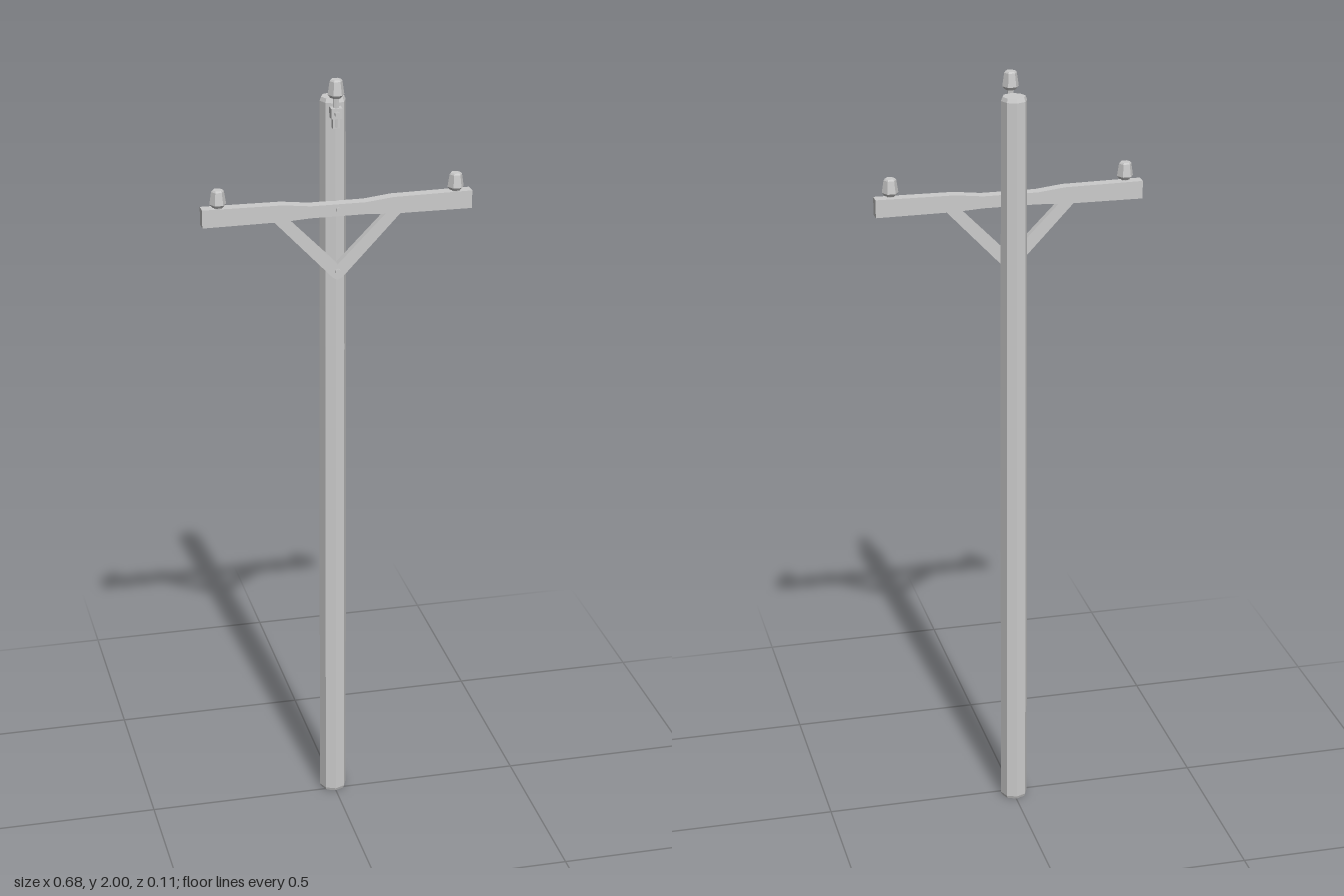
import * as THREE from 'three';

const material = new THREE.MeshStandardMaterial({ color: 0xcccccc, flatShading: true });

function add(parent, name, geometry, x = 0, y = 0, z = 0) {
  const mesh = new THREE.Mesh(geometry, material);
  mesh.name = name;
  mesh.position.set(x, y, z);
  parent.add(mesh);
  return mesh;
}

// Flat outline given as [x, y] points, extruded from z0 to z1
function plate(points, z0, z1) {
  const shape = new THREE.Shape(points.map(([x, y]) => new THREE.Vector2(x, y)));
  return new THREE.ExtrudeGeometry(shape, { depth: z1 - z0, bevelEnabled: false }).translate(0, 0, z0);
}

// Six-sided insulator cup with a chamfered crown, standing on its base
function insulator(height) {
  const profile = [[0, 0], [0.014, 0], [0.021, 0.008], [0.016, height - 0.004], [0.013, height], [0, height]];
  const geometry = new THREE.LatheGeometry(profile.map(([r, y]) => new THREE.Vector2(r, y)), 6);
  return geometry.rotateY(Math.PI / 6);
}

// Bolt head facing forward
function bolt(parent, y, z) {
  const geometry = new THREE.CylinderGeometry(0.007, 0.007, 0.012, 6).rotateX(Math.PI / 2);
  add(parent, 'bolt', geometry, 0, y, z);
}

export function createModel() {
  const model = new THREE.Group();
  model.name = 'utilityPole';

  // Eight-sided pole with a slight taper and a worn top edge
  const poleProfile = [[0, 0], [0.033, 0], [0.036, 0.008], [0.0355, 0.65], [0.0345, 1.3], [0.033, 1.937], [0.029, 1.947], [0, 1.947]];
  const pole = new THREE.LatheGeometry(poleProfile.map(([r, y]) => new THREE.Vector2(r, y)), 8);
  add(model, 'pole', pole, -0.001, 0, -0.018);

  // Crossarm, thinner through the middle
  const arm = [
    [-0.342, 1.652], [-0.14, 1.653], [-0.07, 1.657], [0.07, 1.657], [0.14, 1.653], [0.342, 1.652],
    [0.342, 1.698], [0.14, 1.696], [0.07, 1.688], [-0.07, 1.688], [-0.14, 1.696], [-0.342, 1.698],
  ];
  add(model, 'crossarm', plate(arm, 0.012, 0.042));

  // Pair of diagonal braces meeting on the pole
  for (const s of [-1, 1]) {
    const points = [[0, 1.487], [0.012, 1.493], [0.167, 1.657], [0.127, 1.657], [0, 1.528]];
    const outline = points.map(([x, y]) => [s * x, y]);
    add(model, s > 0 ? 'leftBrace' : 'rightBrace', plate(outline, 0.014, 0.033));
  }
  bolt(model, 1.51, 0.034);
  bolt(model, 1.674, 0.041);

  // Insulators at the arm ends
  for (const s of [-1, 1]) {
    const group = new THREE.Group();
    group.name = s > 0 ? 'leftInsulator' : 'rightInsulator';
    group.position.set(s * 0.301, 1.695, 0.033);
    add(group, 'insulatorCup', insulator(0.044), 0, 0.006, 0);
    add(group, 'insulatorPin', new THREE.CylinderGeometry(0.009, 0.009, 0.014, 6), 0, 0.003, 0);
    model.add(group);
  }

  // Pole-top insulator on its pin and bracket
  const top = new THREE.Group();
  top.name = 'topInsulator';
  top.position.set(-0.002, 0, 0.022);
  add(top, 'insulatorCup', insulator(0.046), 0, 1.954, 0);
  add(top, 'insulatorPin', new THREE.CylinderGeometry(0.008, 0.008, 0.08, 6), 0, 1.92, 0);
  add(top, 'bracketCollar', new THREE.BoxGeometry(0.028, 0.026, 0.024), 0, 1.916, 0);
  add(top, 'bracketFoot', new THREE.BoxGeometry(0.018, 0.03, 0.02), 0, 1.892, -0.004);
  bolt(top, 1.916, 0.017);
  model.add(top);

  return model;
}
